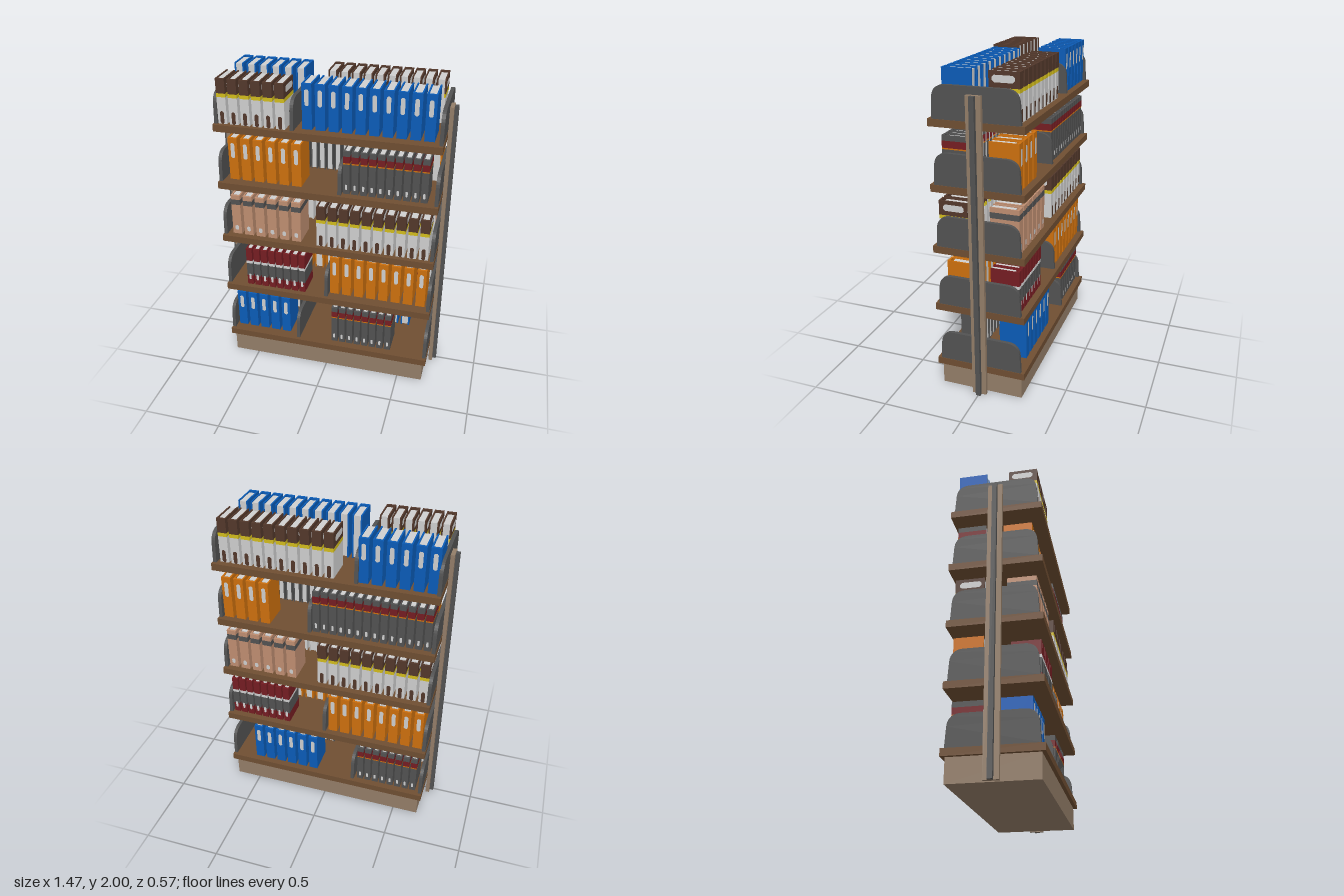
import * as THREE from 'three';
import { mergeGeometries } from 'three/addons/utils/BufferGeometryUtils.js';

const COLORS = {
  wood: 0x6f4e32, taupe: 0x937d68, grey: 0x525252, blue: 0x0a5cb8, orange: 0xcd700e,
  red: 0x751d22, paper: 0xcfcfcf, brown: 0x53382b, salmon: 0xbf8e71, yellow: 0xd2bc1c,
};
const H = 0.278, DEPTH = 0.178;
const SHELF_TOPS = [0.19, 0.575, 0.957, 1.34, 1.724];

// Binder kinds: bands are [colour, top height] from the bottom up,
// tags are [colour, centre height, width, height] on the spine.
const BINDERS = {
  blue: { w: 0.06, pitch: 0.08, z: 0.215, bands: [['blue', H]], tags: [['paper', 0.195, 0.026, 0.1]] },
  orange: { w: 0.06, pitch: 0.0815, z: 0.215, bands: [['orange', H]], tags: [['paper', 0.195, 0.026, 0.1]] },
  brown: {
    w: 0.056, pitch: 0.0725, z: 0.255, sideTag: true,
    bands: [['paper', 0.165], ['yellow', 0.188], ['brown', H]], tags: [['brown', 0.04, 0.024, 0.078]],
  },
  dark: {
    w: 0.041, pitch: 0.0525, z: 0.235,
    bands: [['grey', 0.195], ['orange', 0.203], ['red', 0.245], ['grey', H]], tags: [['paper', 0.045, 0.014, 0.036]],
  },
  red: {
    w: 0.041, pitch: 0.052, z: 0.25,
    bands: [['red', 0.07], ['grey', 0.165], ['paper', 0.185], ['red', H]], tags: [['paper', 0.06, 0.016, 0.045]],
  },
  salmon: {
    w: 0.06, pitch: 0.0805, z: 0.24,
    bands: [['salmon', 0.212], ['grey', 0.248], ['salmon', H]], tags: [['paper', 0.045, 0.024, 0.034]],
  },
};

// Rows per shelf: [kind, left edge as seen from that side, count]
const FRONT = [
  [['blue', -0.65, 5], ['dark', 0.03, 8]],
  [['red', -0.55, 8], ['orange', 0.016, 8]],
  [['salmon', -0.63, 6], ['brown', -0.06, 10]],
  [['orange', -0.63, 6], ['dark', 0.105, 10]],
  [['brown', -0.66, 6], ['blue', -0.148, 10]],
];
const BACK = [
  [['blue', -0.52, 6], ['dark', 0.23, 8]],
  [['red', -0.655, 8], ['orange', 0.025, 8]],
  [['salmon', -0.655, 6], ['brown', -0.045, 10]],
  [['orange', -0.655, 4], ['dark', -0.07, 14]],
  [['brown', -0.645, 10], ['blue', 0.207, 6]],
];
const DIVIDERS = [-0.2, 0, null, 0.088, -0.2];

function box(w, h, d, x, y, z) {
  return new THREE.BoxGeometry(w, h, d).translate(x, y, z);
}

// Thin label with chamfered corners, facing +z
function tagShape(w, h) {
  const c = Math.min(w, h) * 0.3, a = w / 2, b = h / 2;
  return new THREE.ShapeGeometry(new THREE.Shape([
    [-a + c, -b], [a - c, -b], [a, -b + c], [a, b - c], [a - c, b], [-a + c, b], [-a, b - c], [-a, -b + c],
  ].map(([x, y]) => new THREE.Vector2(x, y))));
}

// One binder: banded U-shaped cover around a paper block, spine toward +z
function addBinder(parts, kind, x, z) {
  const { w, bands, tags, sideTag } = BINDERS[kind];
  const t = w * 0.15, spine = 0.014;
  const put = (color, geo) => (parts[color] ??= []).push(geo);
  let y0 = 0;
  for (const [color, y1] of bands) {
    const h = y1 - y0, y = (y0 + y1) / 2;
    for (const s of [-1, 1]) put(color, box(t, h, DEPTH - spine, x + s * (w - t) / 2, y, z - (DEPTH + spine) / 2));
    put(color, box(w, h, spine, x, y, z - spine / 2));
    y0 = y1;
  }
  const pageDepth = DEPTH - 0.035;
  put('paper', box(w - 2 * t, H - 0.012, pageDepth, x, H / 2, z - DEPTH + 0.004 + pageDepth / 2));
  for (const [color, y, tw, th] of tags) put(color, tagShape(tw, th).translate(x, y, z + 0.002));
  if (sideTag) {
    for (const s of [-1, 1]) {
      put('paper', tagShape(0.13, 0.04).rotateY(s * Math.PI / 2).translate(x + s * (w / 2 + 0.002), 0.236, z - 0.093));
    }
  }
}

export function createModel() {
  const model = new THREE.Group();
  model.name = 'binderShelf';
  const mats = {};
  for (const [name, color] of Object.entries(COLORS)) {
    mats[name] = new THREE.MeshStandardMaterial({ color });
    mats[name].name = name;
  }
  const add = (parent, name, geo, color) => {
    const mesh = new THREE.Mesh(geo, mats[color]);
    mesh.name = name;
    parent.add(mesh);
    return mesh;
  };

  // Plinth and shelf boards
  add(model, 'plinth', box(1.33, 0.146, 0.524, 0, 0.073, 0), 'taupe');
  for (const y of SHELF_TOPS) add(model, 'shelfBoard', box(1.376, 0.044, 0.57, 0, y - 0.022, 0), 'wood');

  // End posts with a grey outer rail
  for (const s of [-1, 1]) {
    add(model, 'post', box(0.024, 1.874, 0.09, s * 0.699, 0.937, 0), 'taupe');
    add(model, 'postRail', box(0.024, 1.874, 0.03, s * 0.723, 0.937, 0), 'grey');
  }

  // Bookends with rounded top corners
  const outline = new THREE.Shape();
  outline.moveTo(-0.262, 0);
  outline.lineTo(0.262, 0);
  outline.lineTo(0.255, 0.12);
  outline.quadraticCurveTo(0.25, 0.178, 0.2, 0.19);
  outline.quadraticCurveTo(0.19, 0.193, 0.17, 0.193);
  outline.lineTo(-0.17, 0.193);
  outline.quadraticCurveTo(-0.19, 0.193, -0.2, 0.19);
  outline.quadraticCurveTo(-0.25, 0.178, -0.255, 0.12);
  const bookend = new THREE.ExtrudeGeometry(outline, { depth: 0.022, bevelEnabled: false, curveSegments: 6 })
    .translate(0, 0, -0.011).rotateY(Math.PI / 2);
  SHELF_TOPS.forEach((y, i) => {
    for (const x of [-0.674, 0.674, DIVIDERS[i]]) {
      if (x !== null) add(model, 'bookend', bookend, 'grey').position.set(x, y, 0);
    }
  });

  // Binder rows on both sides, merged by colour
  for (const [side, rows] of [['front', FRONT], ['back', BACK]]) {
    SHELF_TOPS.forEach((y, i) => {
      for (const [kind, left, count] of rows[i]) {
        const group = new THREE.Group();
        group.name = `${side}${kind[0].toUpperCase()}${kind.slice(1)}Binders`;
        group.position.y = y;
        if (side === 'back') group.rotation.y = Math.PI;
        const { w, pitch, z } = BINDERS[kind];
        const parts = {};
        for (let n = 0; n < count; n++) {
          addBinder(parts, kind, left + w / 2 + n * pitch, side === 'back' ? 0.243 : z);
        }
        for (const [color, geos] of Object.entries(parts)) add(group, `${color}BinderParts`, mergeGeometries(geos), color);
        model.add(group);
      }
    });
  }
  return model;
}
